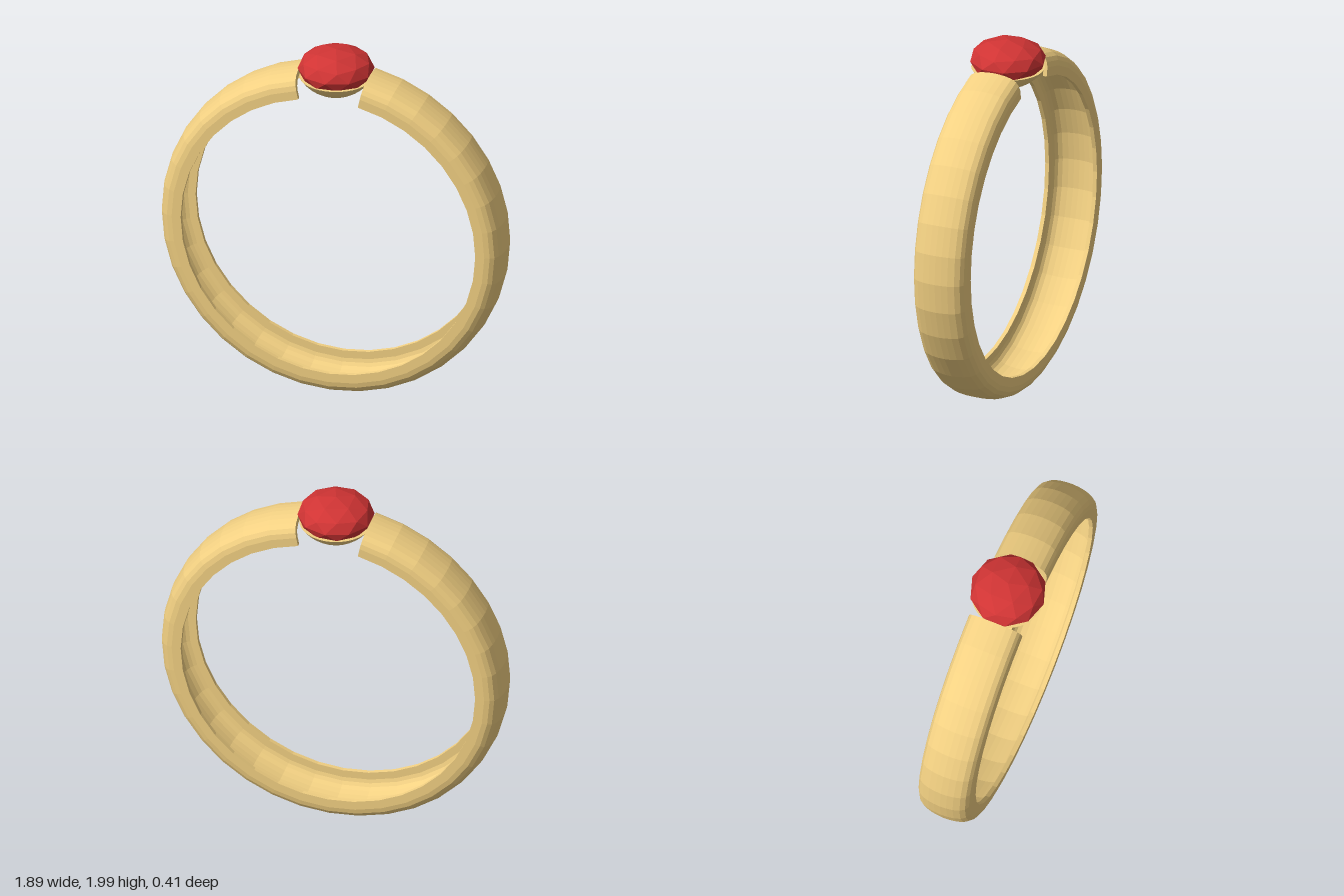
import * as THREE from 'three';
import { toCreasedNormals } from 'three/addons/utils/BufferGeometryUtils.js';

const gold = new THREE.MeshStandardMaterial({ color: 0xf2d082, flatShading: true });
const goldSmooth = new THREE.MeshStandardMaterial({ color: 0xf2d082 });
const red = new THREE.MeshStandardMaterial({ color: 0xd03434, flatShading: true });

const CENTRE_Y = 0.955;

// Half of the band's domed shell as [z, radius]: outer skin and hollow inner skin, rim to crown
const outerHalf = [
  [0.15, 0.812], [0.15, 0.862], [0.144, 0.89], [0.13, 0.912],
  [0.105, 0.929], [0.07, 0.939], [0.035, 0.944], [0, 0.946],
];
const innerHalf = [
  [0.128, 0.812], [0.128, 0.855], [0.122, 0.875], [0.11, 0.892],
  [0.09, 0.905], [0.06, 0.914], [0.03, 0.919], [0, 0.921],
];

const mirrored = half => [
  ...half,
  ...half.slice(0, -1).reverse().map(([z, r]) => [-z, r]),
];

// Sweep the channel section around the finger, leaving a gap at the top
function bandGeometry() {
  const outer = mirrored(outerHalf);
  const profile = [...outer, ...mirrored(innerHalf).reverse()];
  const n = profile.length;
  const quarter = Math.PI / 2;
  const gap = THREE.MathUtils.degToRad(11.7);

  // nine steps in each lower quarter, eight in each shortened upper one
  const angles = [];
  for (let i = -17; i <= 17; i++) {
    const k = Math.abs(i);
    const a = k <= 9 ? (k / 9) * quarter : quarter + ((k - 9) / 8) * (quarter - gap);
    angles.push(Math.sign(i) * a);
  }

  const positions = [];
  for (const a of angles) {
    for (const [z, r] of profile) {
      positions.push(r * Math.sin(a), CENTRE_Y - r * Math.cos(a), z);
    }
  }
  const index = [];
  const quad = (a, b, c, d) => index.push(a, b, c, a, c, d);
  for (let i = 0; i < angles.length - 1; i++) {
    for (let j = 0; j < n; j++) {
      const a = i * n + j, b = i * n + (j + 1) % n;
      quad(a, b, b + n, a + n);
    }
  }
  // crescent end caps between the two skins
  const last = (angles.length - 1) * n;
  for (let j = 0; j < outer.length - 1; j++) {
    const k = n - 1 - j;
    quad(j, k, k - 1, j + 1);
    quad(last + j, last + j + 1, last + k - 1, last + k);
  }
  const g = new THREE.BufferGeometry();
  g.setAttribute('position', new THREE.Float32BufferAttribute(positions, 3));
  g.setIndex(index);
  const flat = g.toNonIndexed();
  flat.computeVertexNormals();
  return flat;
}

// Shallow spherical cap with a flat top that seats the stone
function cupGeometry(radius, depth) {
  const R = (radius * radius + depth * depth) / (2 * depth);
  const edge = Math.asin(radius / R);
  const pts = [];
  for (let i = 0; i <= 8; i++) {
    const t = (i / 8) * edge;
    pts.push(new THREE.Vector2(R * Math.sin(t), R - depth - R * Math.cos(t)));
  }
  pts.push(new THREE.Vector2(0, 0));
  return toCreasedNormals(new THREE.LatheGeometry(pts, 32), 0.6);
}

export function createModel() {
  const ring = new THREE.Group();
  ring.name = 'ring';

  const add = (name, geometry, material, y = 0) => {
    const mesh = new THREE.Mesh(geometry, material);
    mesh.name = name;
    mesh.position.y = y;
    ring.add(mesh);
  };

  add('band', bandGeometry(), gold);
  add('stoneCup', cupGeometry(0.195, 0.107), goldSmooth, 1.845);

  // Faceted stone: an icosphere with one vertex straight up, flattened
  const stone = new THREE.IcosahedronGeometry(1, 1);
  stone.rotateZ(-Math.atan(2 / (1 + Math.sqrt(5))));
  stone.scale(0.204, 0.11, 0.204);
  stone.computeVertexNormals();
  add('stone', stone, red, 1.89);

  return ring;
}
